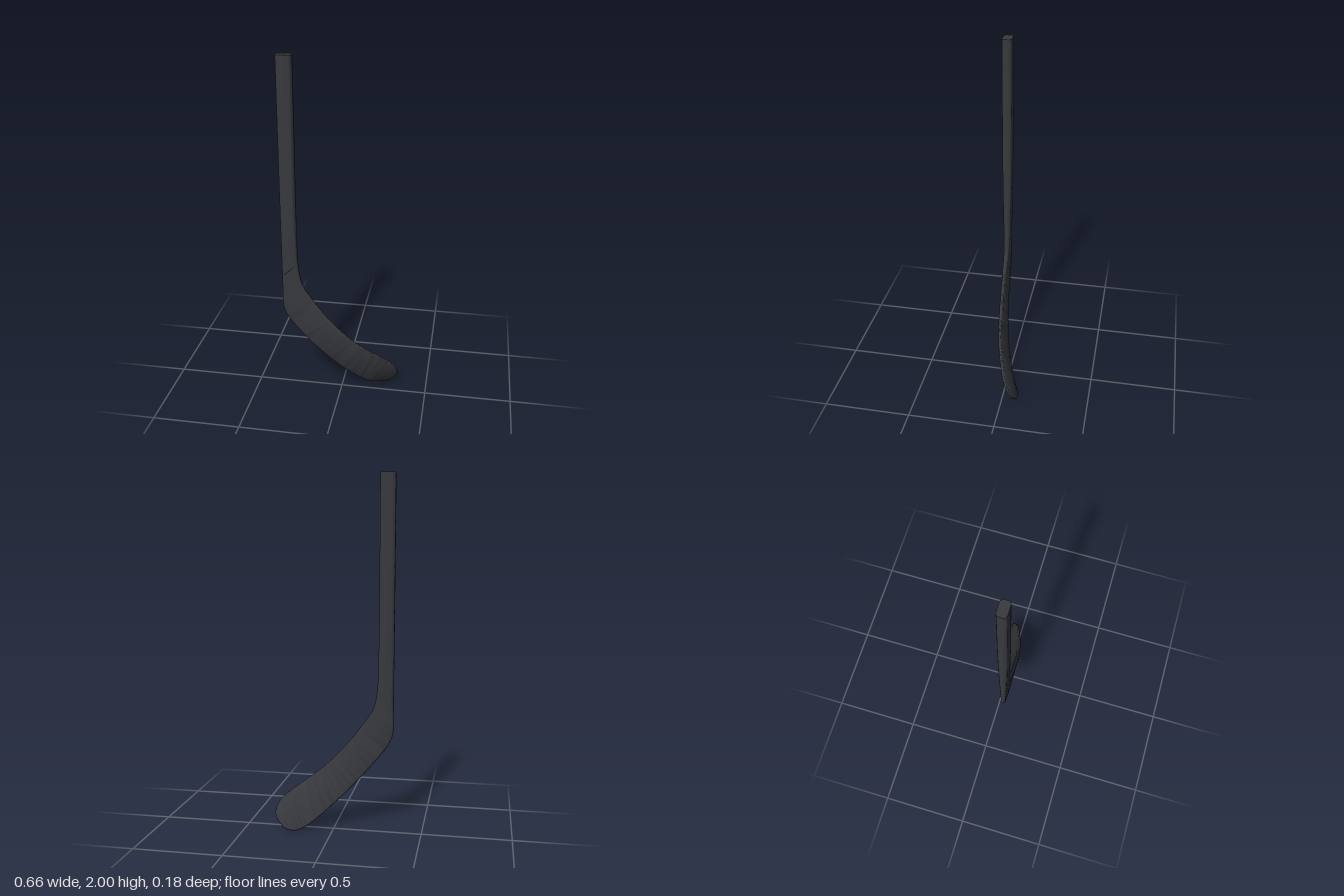
import * as THREE from 'three';
import { toCreasedNormals } from 'three/addons/utils/BufferGeometryUtils.js';

// Stations from grip to toe: upper edge xyz, lower edge xyz, thickness
const stations = [
  [-0.245, 2.0, 0.067, -0.33, 2.0, 0.067, 0.053],
  [-0.245, 1.6, 0.067, -0.33, 1.6, 0.067, 0.053],
  [-0.245, 1.25, 0.067, -0.33, 1.25, 0.067, 0.051],
  [-0.243, 1.0, 0.067, -0.33, 1.0, 0.067, 0.045],
  [-0.236, 0.8, 0.067, -0.33, 0.78, 0.067, 0.036],
  [-0.216, 0.7, 0.067, -0.33, 0.66, 0.067, 0.030],
  [-0.187, 0.648, 0.067, -0.329, 0.56, 0.066, 0.026],
  [-0.15, 0.597, 0.067, -0.302, 0.49, 0.064, 0.023],
  [-0.07, 0.492, 0.064, -0.2, 0.36, 0.056, 0.022],
  [0.035, 0.382, 0.055, -0.1, 0.248, 0.037, 0.020],
  [0.1, 0.325, 0.045, 0.0, 0.148, 0.010, 0.019],
  [0.18, 0.266, 0.024, 0.1, 0.06, -0.030, 0.018],
  [0.25, 0.215, 0.001, 0.165, 0.017, -0.062, 0.017],
  [0.293, 0.178, -0.017, 0.215, 0.004, -0.081, 0.016],
  [0.317, 0.143, -0.035, 0.265, 0.015, -0.084, 0.015],
  [0.327, 0.108, -0.053, 0.303, 0.048, -0.073, 0.013],
  [0.328, 0.095, -0.058, 0.322, 0.078, -0.064, 0.010],
];
const curve = (f) => new THREE.CatmullRomCurve3(stations.map(f), false, 'centripetal');
const upper = curve((s) => new THREE.Vector3(s[0], s[1], s[2]));
const lower = curve((s) => new THREE.Vector3(s[3], s[4], s[5]));
const thick = curve((s, i) => new THREE.Vector3(i, s[6], 0));
const LAST = stations.length - 1;
const CORNER = 5;

const middle = (u) => upper.getPoint(u).add(lower.getPoint(u)).multiplyScalar(0.5);

// Rounded-rectangle ring spanning the two edge curves at parameter u
function ring(u) {
  const chord = upper.getPoint(u).sub(lower.getPoint(u));
  const w = chord.length() / 2;
  const t = thick.getPoint(u).y / 2;
  const r = Math.min(0.016, t * 0.85, w * 0.85);
  const across = chord.normalize();
  const tangent = middle(Math.min(1, u + 0.004)).sub(middle(Math.max(0, u - 0.004)));
  const front = tangent.cross(across).normalize();
  const mid = middle(u);
  const points = [];
  [[1, 1], [-1, 1], [-1, -1], [1, -1]].forEach(([sx, sy], q) => {
    for (let k = 0; k < CORNER; k++) {
      const a = (q + k / (CORNER - 1)) * Math.PI / 2;
      points.push(mid.clone()
        .addScaledVector(across, sx * (w - r) + r * Math.cos(a))
        .addScaledVector(front, sy * (t - r) + r * Math.sin(a)));
    }
  });
  return points;
}

// Skin between two stations, with optional end caps
function loft(from, to, steps, capStart, capEnd) {
  const pos = [];
  const index = [];
  const n = CORNER * 4;
  for (let i = 0; i <= steps; i++) {
    const u = (from + (to - from) * i / steps) / LAST;
    ring(u).forEach((p) => pos.push(p.x, p.y, p.z));
  }
  for (let i = 0; i < steps; i++) {
    for (let j = 0; j < n; j++) {
      const a = i * n + j, b = i * n + (j + 1) % n;
      index.push(a, b, a + n, b, b + n, a + n);
    }
  }
  const end = steps * n;
  for (let j = 1; j < n - 1; j++) {
    if (capStart) index.push(0, j + 1, j);
    if (capEnd) index.push(end, end + j, end + j + 1);
  }
  const geometry = new THREE.BufferGeometry();
  geometry.setAttribute('position', new THREE.Float32BufferAttribute(pos, 3));
  geometry.setIndex(index);
  return toCreasedNormals(geometry, 0.8);
}

export function createModel() {
  const group = new THREE.Group();
  const material = new THREE.MeshStandardMaterial({ color: 0x38393e });
  const add = (name, geometry, mat = material) => {
    const mesh = new THREE.Mesh(geometry, mat);
    mesh.name = name;
    group.add(mesh);
    return mesh;
  };

  // Straight shaft, thinning toward the blade
  add('shaft', loft(0, 4, 24, true, false));

  // Heel bend and scooped, twisted blade with a rounded toe
  add('blade', loft(4, LAST, 84, false, true));

  // Small slanted seam where the shaft meets the blade
  const seam = add('seam', new THREE.BoxGeometry(0.066, 0.005, 0.004),
    new THREE.MeshStandardMaterial({ color: 0x1c1c1f }));
  seam.position.set(-0.289, 0.788, 0.0835);
  seam.rotation.z = 0.75;

  return group;
}
